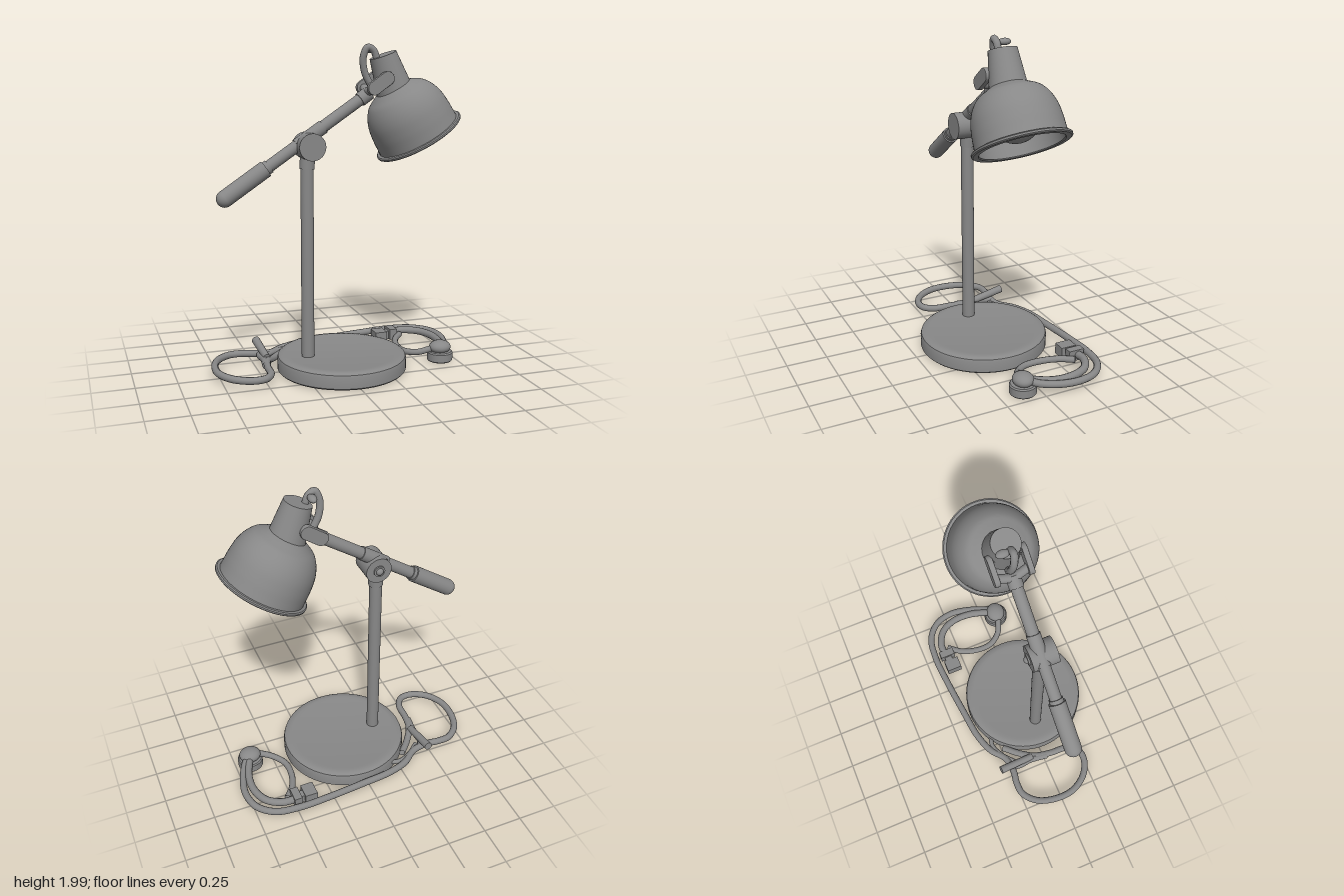
import * as THREE from 'three';
import { toCreasedNormals } from 'three/addons/utils/BufferGeometryUtils.js';

const Z = 0.045; // plane of the post, arm and shade
const grey = new THREE.MeshStandardMaterial({ color: 0x888888, side: THREE.DoubleSide });
grey.name = 'grey metal';
const V = (x, y, z = Z) => new THREE.Vector3(x, y, z);

export function createModel() {
  const model = new THREE.Group();
  model.name = 'deskLamp';

  const add = (name, geometry, parent = model) => {
    const mesh = new THREE.Mesh(geometry, grey);
    mesh.name = name;
    parent.add(mesh);
    return mesh;
  };
  // Turned part from [radius, height] pairs, with crisp corners kept
  const turned = (name, pts, parent, segs = 64) => add(name,
    toCreasedNormals(new THREE.LatheGeometry(pts.map(p => new THREE.Vector2(...p)), segs), 0.6), parent);
  // Straight round bar between two points
  const bar = (name, a, b, r1, r2 = r1) => {
    const mesh = add(name, new THREE.CylinderGeometry(r2, r1, a.distanceTo(b), 32));
    mesh.position.copy(a).lerp(b, 0.5);
    mesh.quaternion.setFromUnitVectors(V(0, 1, 0), b.clone().sub(a).normalize());
    return mesh;
  };
  const ball = (name, p, r, parent) => {
    const mesh = add(name, new THREE.SphereGeometry(r, 32, 20), parent);
    mesh.position.copy(p);
    return mesh;
  };
  // Cord through a few points
  const cord = (name, pts, r = 0.022, segs = 120) =>
    add(name, new THREE.TubeGeometry(new THREE.CatmullRomCurve3(pts.map(p => V(...p))), segs, r, 12));

  // Round base, hollow underneath
  turned('base', [
    [0, 0.075], [0.365, 0.075], [0.37, 0.01], [0.39, 0.01], [0.4, 0.02], [0.4, 0.085],
    [0.395, 0.1], [0.38, 0.11], [0.35, 0.113], [0.33, 0.11], [0, 0.11],
  ]).position.set(0.008, 0, 0.042);

  // Post
  bar('post', V(-0.21, 0.08), V(-0.21, 1.34), 0.039);
  bar('postCollar', V(-0.21, 1.265), V(-0.205, 1.36), 0.045);

  // Joint between post and arm
  bar('joint', V(-0.2, 1.4, -0.02), V(-0.2, 1.4, 0.14), 0.081);
  bar('jointScrew', V(-0.2, 1.4, -0.03), V(-0.2, 1.4, 0), 0.035);
  ball('jointScrewHead', V(-0.2, 1.4, -0.025), 0.024);

  // Arm with counterweight grip
  const onArm = x => V(x, 1.43 + (x + 0.23) * 0.675);
  bar('arm', onArm(-0.5), onArm(0.17), 0.036);
  bar('armCollar', onArm(-0.27), onArm(-0.11), 0.042);
  bar('armEnd', onArm(0.12), onArm(0.18), 0.043);
  bar('gripCollar', onArm(-0.48), onArm(-0.44), 0.042);
  bar('grip', onArm(-0.705), onArm(-0.46), 0.051);
  ball('gripEnd', onArm(-0.705), 0.051);

  // Fork holding the shade: two round-ended plates joined behind the neck
  const plate = new THREE.Shape();
  plate.absarc(0.05, 0, 0.037, -Math.PI / 2, Math.PI / 2);
  plate.absarc(-0.05, 0, 0.037, Math.PI / 2, Math.PI * 1.5);
  const plateGeo = new THREE.ExtrudeGeometry(plate, { depth: 0.025, bevelSize: 0.004, bevelThickness: 0.004, bevelSegments: 2, curveSegments: 16 });
  for (const s of [-1, 1]) {
    const p = add('forkPlate', plateGeo);
    p.position.set(0.215, 1.765, Z + s * 0.1 - 0.0125);
    p.rotation.z = 0.61;
    bar('forkArm', V(0.16, 1.71), V(0.18, 1.735, Z + s * 0.1), 0.026);
    bar('pivotPin', V(0.265, 1.8), V(0.265, 1.8, Z + s * 0.1), 0.02);
  }

  // Shade: double-walled dome with a rolled rim
  const shade = new THREE.Group();
  shade.name = 'shade';
  shade.position.set(0.507, 1.434, Z);
  shade.rotation.z = 0.534;
  model.add(shade);
  const outer = new THREE.SplineCurve([
    [0.262, 0.018], [0.26, 0.06], [0.257, 0.12], [0.247, 0.19], [0.225, 0.25],
    [0.19, 0.3], [0.148, 0.328], [0.108, 0.35],
  ].map(p => new THREE.Vector2(...p))).getPoints(36).map(p => [p.x, p.y]);
  const inner = outer.map(([r, y]) => [r - 0.016, y - 0.014]).reverse();
  turned('dome', [...outer, [0, 0.35], [0, 0.336], ...inner], shade);
  turned('rim', [[0.24, 0.004], [0.246, -0.002], [0.276, -0.002], [0.284, 0.004], [0.285, 0.014], [0.278, 0.02], [0.26, 0.021]], shade);
  ball('bulb', V(0, 0.17, 0), 0.145, shade);
  bar('neck', V(0.352, 1.69), V(0.265, 1.93), 0.115, 0.083);

  // Cord loop over the neck
  cord('neckCord', [[0.2, 1.74, 0.03], [0.155, 1.83, 0.03], [0.143, 1.92, 0.04], [0.168, 1.975, 0.05],
    [0.205, 1.955, 0.05], [0.228, 1.9, 0.05], [0.25, 1.87, 0.05]], 0.021, 60);
  ball('cordKnot', V(0.2, 1.96, 0.0), 0.025).scale.set(1, 0.8, 1.6);

  // Mains cord on the ground: left loop, long run behind the base, to the plug
  cord('mainsCord', [
    [-0.3, 0.05, -0.24], [-0.38, 0.05, -0.15], [-0.44, 0.065, -0.06], [-0.465, 0.065, 0.05], [-0.475, 0.065, 0.17],
    [-0.52, 0.065, 0.235], [-0.6, 0.065, 0.245], [-0.7, 0.065, 0.19], [-0.765, 0.065, 0.08],
    [-0.77, 0.065, -0.05], [-0.73, 0.065, -0.17], [-0.65, 0.065, -0.24], [-0.57, 0.065, -0.248],
    [-0.48, 0.06, -0.235], [-0.38, 0.05, -0.25], [-0.28, 0.05, -0.325], [-0.15, 0.055, -0.37],
    [0.05, 0.06, -0.395], [0.3, 0.065, -0.42], [0.5, 0.07, -0.43], [0.65, 0.07, -0.405],
    [0.745, 0.07, -0.32], [0.775, 0.07, -0.2], [0.755, 0.07, -0.08], [0.71, 0.08, 0.03], [0.66, 0.1, 0.1],
  ], 0.022, 320);
  cord('loopTail', [[-0.47, 0.065, 0.02], [-0.455, 0.065, -0.1], [-0.46, 0.06, -0.19], [-0.44, 0.06, -0.235]], 0.022, 40);
  cord('cordToBase', [[-0.42, 0.05, -0.2], [-0.35, 0.05, -0.26], [-0.26, 0.05, -0.3], [-0.2, 0.05, -0.29]], 0.015, 40);
  bar('cordStub', V(-0.455, 0.12, -0.315), V(-0.44, 0.08, -0.08), 0.026, 0.022);

  // Inner cords leading from the connector to the plug
  cord('innerCord', [[0.48, 0.07, -0.355], [0.58, 0.075, -0.355], [0.67, 0.075, -0.3], [0.715, 0.075, -0.2],
    [0.715, 0.075, -0.08], [0.68, 0.085, 0.03], [0.64, 0.1, 0.1]], 0.024);
  cord('innerLoop', [[0.54, 0.06, -0.32], [0.48, 0.055, -0.24], [0.445, 0.05, -0.13], [0.45, 0.05, -0.02],
    [0.51, 0.06, 0.06], [0.6, 0.09, 0.1]], 0.02);

  // Inline connector
  const block = (name, w, h, d, x, y, z) => {
    add(name, new THREE.BoxGeometry(w, h, d)).position.set(x, y, z);
  };
  block('connectorBody', 0.08, 0.07, 0.1, 0.4, 0.06, -0.335);
  block('connectorNeck', 0.05, 0.055, 0.05, 0.45, 0.06, -0.345);
  block('connectorCollar', 0.05, 0.07, 0.1, 0.49, 0.07, -0.345);

  // Wall plug lying on its face
  turned('plug', [[0, 0.008], [0.076, 0.008], [0.081, 0.014], [0.081, 0.062], [0.074, 0.07], [0, 0.072]])
    .position.set(0.65, 0, 0.1);
  const cap = ball('plugCap', V(0.65, 0.095, 0.1), 0.07);
  cap.scale.set(1, 0.6, 0.9);

  return model;
}
